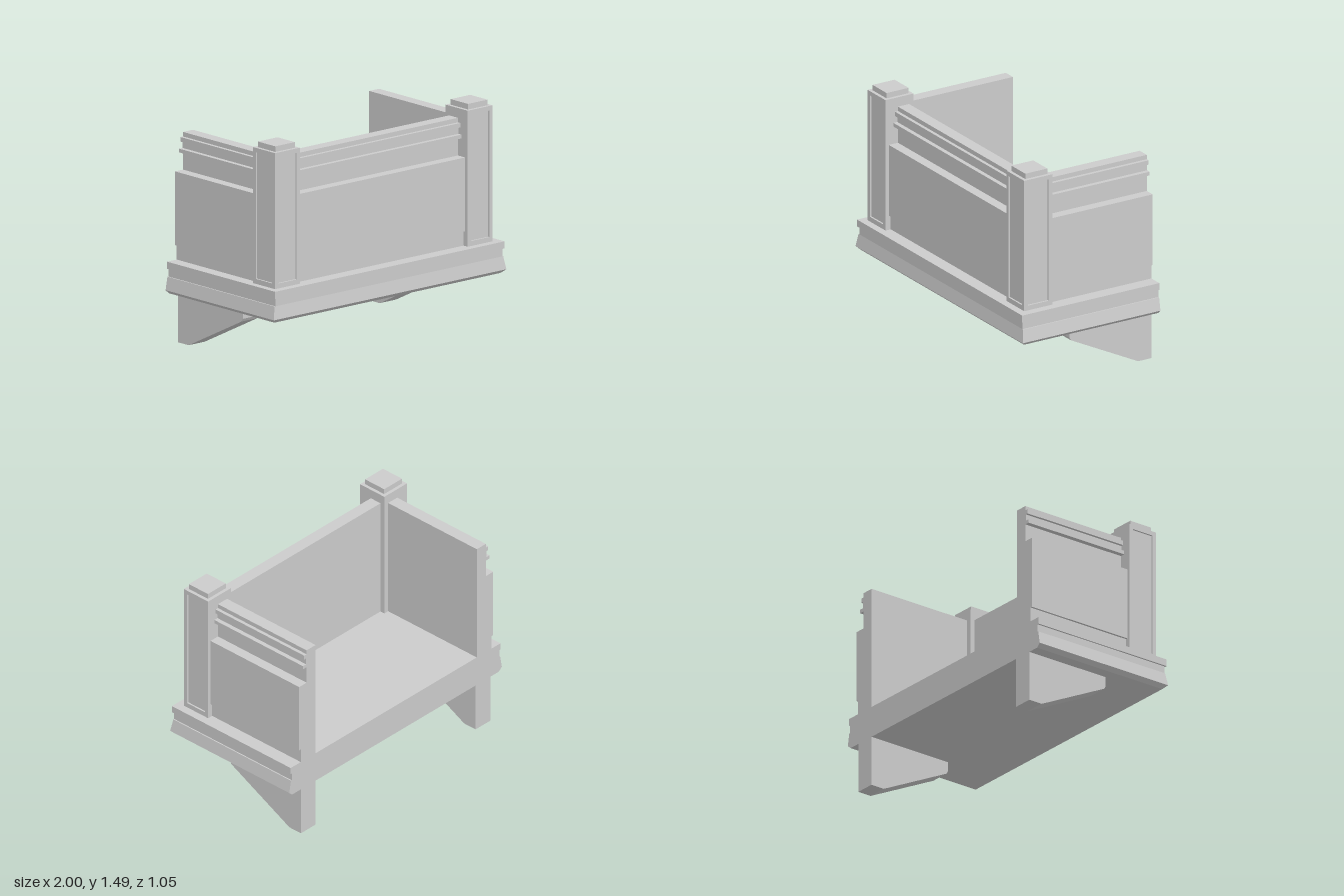
import * as THREE from 'three';

const BACK = -0.525;
const material = new THREE.MeshStandardMaterial({ color: 0xcccccc, flatShading: true, side: THREE.DoubleSide });

function add(parent, geometry, name) {
  const mesh = new THREE.Mesh(geometry, material);
  mesh.name = name;
  parent.add(mesh);
  return mesh;
}

function extrude(points, depth) {
  const shape = new THREE.Shape(points.map(([x, y]) => new THREE.Vector2(x, y)));
  return new THREE.ExtrudeGeometry(shape, { depth, bevelEnabled: false });
}

// Stacked rectangles [y, half width, front z], all flush at the back
function baseGeometry(levels) {
  const positions = [], index = [];
  for (const [y, x, z] of levels) positions.push(-x, y, z, x, y, z, x, y, BACK, -x, y, BACK);
  for (let i = 0; i < levels.length - 1; i++) {
    for (let j = 0; j < 4; j++) {
      const a = i * 4 + j, b = i * 4 + (j + 1) % 4;
      index.push(a, b, b + 4, a, b + 4, a + 4);
    }
  }
  const t = (levels.length - 1) * 4;
  index.push(0, 2, 1, 0, 3, 2, t, t + 1, t + 2, t, t + 2, t + 3);
  const geometry = new THREE.BufferGeometry();
  geometry.setAttribute('position', new THREE.Float32BufferAttribute(positions, 3));
  geometry.setIndex(index);
  const flat = geometry.toNonIndexed();
  flat.computeVertexNormals();
  return flat;
}

// Wall section: [distance outward from the inner face, height]
const wallProfile = [
  [0, 0.55], [0.14, 0.55], [0.14, 0.65], [0.155, 0.65], [0.155, 1.14], [0.085, 1.14],
  [0.085, 1.26], [0.12, 1.26], [0.12, 1.285], [0.09, 1.285], [0.09, 1.33],
  [0.108, 1.33], [0.108, 1.36], [0.085, 1.36], [0.085, 1.39], [0, 1.39],
];

// Square post with a sunken panel on its front and outer faces
function createPost(side) {
  const post = new THREE.Group();
  post.name = 'cornerPost';
  const half = 0.107, inset = 0.012, bottom = 0.55, top = 1.455;
  const core = new THREE.BoxGeometry(2 * half - inset, top - bottom, 2 * half - inset);
  add(post, core, 'postCore').position.set(-side * inset / 2, (top + bottom) / 2, -inset / 2);

  const frame = new THREE.Shape([[-half, bottom], [half, bottom], [half, top], [-half, top]].map(p => new THREE.Vector2(...p)));
  const w = half - 0.028;
  frame.holes.push(new THREE.Path([[-w, 0.585], [-w, 1.425], [w, 1.425], [w, 0.585]].map(p => new THREE.Vector2(...p))));
  const frameGeometry = new THREE.ExtrudeGeometry(frame, { depth: inset, bevelEnabled: false });
  add(post, frameGeometry, 'frontPanelFrame').position.z = half - inset;
  const outer = add(post, frameGeometry, 'outerPanelFrame');
  outer.rotation.y = side * Math.PI / 2;
  outer.position.x = side * (half - inset);

  const cap = new THREE.BoxGeometry(0.168, 0.037, 0.168);
  add(post, cap, 'postCap').position.y = top + 0.0185;
  return post;
}

export function createModel() {
  const model = new THREE.Group();
  model.name = 'balcony';

  // Moulded floor slab
  add(model, baseGeometry([
    [0.34, 0.972, 0.498], [0.365, 1, 0.525], [0.452, 0.984, 0.512], [0.452, 0.976, 0.512],
    [0.505, 0.976, 0.512], [0.505, 0.987, 0.522], [0.552, 0.987, 0.522],
  ]), 'floorSlab');

  const parapet = new THREE.Group();
  parapet.name = 'parapet';
  parapet.position.x = -0.006;
  model.add(parapet);

  // Front wall between the posts
  const front = add(parapet, extrude(wallProfile, 1.516), 'frontWall');
  front.rotation.y = -Math.PI / 2;
  front.position.set(0.758, 0, 0.29);

  // Side walls and corner posts
  const sideLength = 0.33 - BACK;
  for (const side of [-1, 1]) {
    const wall = add(parapet, extrude(wallProfile, sideLength), 'sideWall');
    wall.rotation.y = side < 0 ? Math.PI : 0;
    wall.position.set(side * 0.758, 0, side < 0 ? 0.33 : BACK);

    const post = createPost(side);
    post.position.set(side * 0.829, 0, 0.363);
    parapet.add(post);
  }

  // Tapered brackets under the slab
  const bracketSide = [
    [BACK, 0], [-0.425, 0], [-0.408, 0.008], [0.088, 0.255], [0.1, 0.275], [0.1, 0.342], [BACK, 0.342],
  ];
  for (const side of [-1, 1]) {
    const bracket = add(model, extrude(bracketSide, 0.138), 'bracket');
    bracket.rotation.y = -Math.PI / 2;
    bracket.position.x = side * 0.822 + 0.069;
  }
  return model;
}
